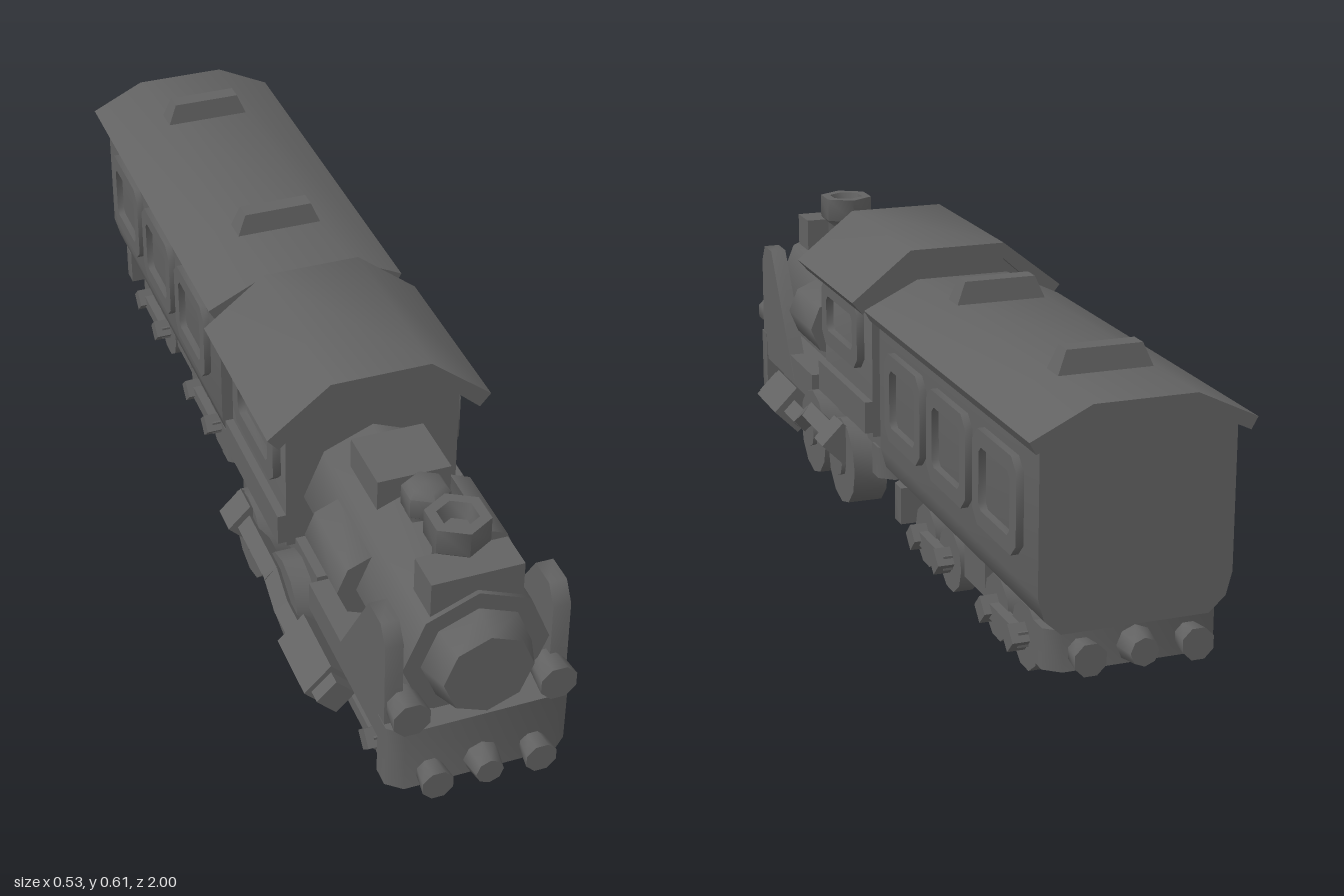
import * as THREE from 'three';
import { toCreasedNormals } from 'three/addons/utils/BufferGeometryUtils.js';

const mat = new THREE.MeshStandardMaterial({ color: 0x626262 });

// Soft shading over shallow bends, sharp at square corners
function add(parent, name, geo, x = 0, y = 0, z = 0) {
  const m = new THREE.Mesh(toCreasedNormals(geo, 1.1), mat);
  m.name = name;
  m.position.set(x, y, z);
  parent.add(m);
  return m;
}
// Box given by its limits
function box(parent, name, x0, x1, y0, y1, z0, z1) {
  return add(parent, name, new THREE.BoxGeometry(Math.abs(x1 - x0), y1 - y0, z1 - z0),
    (x0 + x1) / 2, (y0 + y1) / 2, (z0 + z1) / 2);
}
// Cylinder along z: rFront faces +z
function cylZ(parent, name, rFront, rBack, z0, z1, x, y, n = 8, turn = 0) {
  const g = new THREE.CylinderGeometry(rFront, rBack, z1 - z0, n);
  g.rotateY(turn).rotateX(Math.PI / 2);
  return add(parent, name, g, x, y, (z0 + z1) / 2);
}
// Cylinder along x
function cylX(parent, name, r, x0, x1, y, z, n = 10) {
  const g = new THREE.CylinderGeometry(r, r, Math.abs(x1 - x0), n).rotateZ(Math.PI / 2);
  return add(parent, name, g, (x0 + x1) / 2, y, z);
}
function polygon(points) {
  return new THREE.Shape(points.map(([x, y]) => new THREE.Vector2(x, y)));
}
function extrude(shape, depth) {
  return new THREE.ExtrudeGeometry(shape, { depth, bevelEnabled: false });
}
// Cross-section in x, y, drawn out from z0 to z1
function section(parent, name, points, z0, z1) {
  return add(parent, name, extrude(polygon(points), z1 - z0), 0, 0, z0);
}
// Mirror the right-hand half of an outline to close it
const mirrored = half => [...half, ...half.slice().reverse().map(([x, y]) => [-x, y])];

// Rectangle with cut corners
const cutRect = (w, h, c) => [[-w + c, -h], [w - c, -h], [w, -h + c], [w, h - c],
  [w - c, h], [-w + c, h], [-w, h - c], [-w, -h + c]];

// Raised window frame on a side wall
function windowFrame(parent, side, x, y, z, w, h, rim) {
  const s = polygon(cutRect(w / 2, h / 2, 0.025));
  s.holes.push(new THREE.Path(cutRect(w / 2 - rim, h / 2 - rim, 0.012).map(p => new THREE.Vector2(...p)).reverse()));
  add(parent, 'windowFrame', extrude(s, 0.018), side * x, y, z).rotation.y = side * Math.PI / 2;
}

// Four small wheels around a wide block with bevelled lower edges
function bogie(parent, z) {
  const b = new THREE.Group();
  b.name = 'bogie';
  b.position.z = z;
  parent.add(b);
  const block = extrude(polygon(mirrored([[0.085, 0.027], [0.112, 0.05], [0.112, 0.09], [0.09, 0.14]])), 0.22);
  block.translate(0, 0, -0.11).rotateY(Math.PI / 2);
  add(b, 'bogieBlock', block);
  for (const s of [-1, 1]) {
    for (const dz of [-0.072, 0.072]) {
      cylX(b, 'wheel', 0.066, s * 0.108, s * 0.148, 0.067, dz);
      cylX(b, 'hub', 0.028, s * 0.148, s * 0.183, 0.067, dz, 4);
    }
    box(b, 'sideBar', s * 0.145, s * 0.168, 0.052, 0.082, -0.09, 0.09);
  }
}

// End beam with cut corners, two buffers and a central coupling; dir is the outward z
function endBeam(parent, z, dir, w, y0, y1, bufferY) {
  const plan = mirrored([[w, -0.065], [w, -0.025], [w - 0.03, 0]]);
  const beam = extrude(polygon(plan), y1 - y0).rotateX(Math.PI / 2);
  if (dir < 0) beam.rotateY(Math.PI);
  add(parent, 'endBeam', beam, 0, y1, z);
  const tip = z + dir * 0.045;
  for (const x of [-0.105, 0, 0.105]) {
    const [outer, inner] = x ? [0.033, 0.027] : [0.028, 0.036];
    cylZ(parent, x ? 'buffer' : 'coupling', dir > 0 ? outer : inner, dir > 0 ? inner : outer,
      Math.min(z, tip), Math.max(z, tip), x, bufferY, 8, x ? Math.PI / 8 : 0);
  }
}

function locomotive() {
  const g = new THREE.Group();
  g.name = 'locomotive';

  // Underframe and footplate
  box(g, 'underframe', -0.11, 0.11, 0.1, 0.2, 0.06, 0.9);
  box(g, 'footplate', -0.182, 0.182, 0.14, 0.205, 0.5, 0.92);
  box(g, 'rearFootplate', -0.165, 0.165, 0.165, 0.215, 0.03, 0.5);
  endBeam(g, 0.955, 1, 0.185, 0.06, 0.205, 0.097);
  endBeam(g, 0.015, -1, 0.17, 0.1, 0.17, 0.133);

  // Boiler with bevelled front door
  cylZ(g, 'boiler', 0.147, 0.147, 0.36, 0.91, 0, 0.318);
  cylZ(g, 'boilerDoor', 0.09, 0.111, 0.91, 0.97, 0, 0.318);
  box(g, 'boilerSaddle', -0.11, 0.11, 0.19, 0.25, 0.36, 0.9);

  // Fittings along the top
  const pipe = [[0, 0.43], [0.045, 0.43], [0.045, 0.495], [0.063, 0.51], [0.063, 0.563], [0.04, 0.563], [0.03, 0.53], [0, 0.53]];
  add(g, 'chimney', new THREE.LatheGeometry(pipe.map(p => new THREE.Vector2(...p)), 6), 0, 0, 0.797);
  box(g, 'chimneyBlock', -0.092, 0.092, 0.4, 0.502, 0.82, 0.9);
  const dome = [[0, 0.43], [0.04, 0.43], [0.04, 0.462], [0.048, 0.468], [0.048, 0.51], [0.036, 0.523], [0, 0.523]];
  add(g, 'steamDome', new THREE.LatheGeometry(dome.map(p => new THREE.Vector2(...p)), 6), 0, 0, 0.647);
  box(g, 'sandBox', -0.076, 0.076, 0.41, 0.5, 0.445, 0.59);

  // Cab and its bent roof
  section(g, 'cab', mirrored([[0.185, 0.2], [0.185, 0.51], [0.105, 0.59]]), 0.025, 0.37);
  section(g, 'cabRoof', [[0.213, 0.483], [0.236, 0.51], [0.105, 0.613], [-0.105, 0.613], [-0.236, 0.51],
    [-0.213, 0.483], [-0.105, 0.578], [0.105, 0.578]], 0, 0.41);

  for (const s of [-1, 1]) {
    windowFrame(g, s, 0.184, 0.41, 0.21, 0.26, 0.15, 0.035);
    box(g, 'cabBand', s * 0.18, s * 0.203, 0.21, 0.28, 0.025, 0.37);
    cylZ(g, 'sideTank', 0.073, 0.073, 0.485, 0.67, s * 0.113, 0.32);
    cylZ(g, 'lamp', 0.039, 0.033, 0.9, 0.965, s * 0.147, 0.245, 8, Math.PI / 8);

    // Smoke deflector: sloping side plate
    const plate = extrude(
      polygon([[-0.92, 0.15], [-0.65, 0.15], [-0.7, 0.23], [-0.83, 0.43], [-0.89, 0.43], [-0.915, 0.39]]), 0.036);
    plate.translate(0, 0, -0.018).rotateY(Math.PI / 2);
    add(g, 'smokeDeflector', plate, s * 0.166, 0, 0);

    // Driving wheels
    for (const z of [0.41, 0.19]) {
      cylX(g, 'drivingWheel', 0.098, s * 0.13, s * 0.207, 0.098, z, 12);
      cylX(g, 'wheelHub', 0.035, s * 0.2, s * 0.217, 0.098, z, 8);
    }
    // Piston, cranked rod and rod end
    cylZ(g, 'pistonCylinder', 0.055, 0.055, 0.54, 0.7, s * 0.208, 0.11, 4);
    cylZ(g, 'pistonCap', 0.04, 0.04, 0.7, 0.73, s * 0.208, 0.11, 4);
    box(g, 'pistonMount', s * 0.1, s * 0.18, 0.1, 0.16, 0.56, 0.68);
    const rod = [[0.11, 0.56], [0.11, 0.455], [0.147, 0.39], [0.147, 0.17]];
    for (let i = 0; i < 3; i++) {
      const [y0, z0] = rod[i], [y1, z1] = rod[i + 1];
      const len = Math.hypot(y1 - y0, z1 - z0);
      const bar = new THREE.CylinderGeometry(0.026, 0.026, len + 0.012, 4).rotateX(Math.PI / 2);
      add(g, 'connectingRod', bar, s * 0.215, (y0 + y1) / 2, (z0 + z1) / 2).rotation.x = Math.atan2(y1 - y0, z0 - z1);
    }
    cylZ(g, 'rodEnd', 0.048, 0.048, 0.155, 0.22, s * 0.213, 0.147, 4);
  }
  for (const z of [0.41, 0.19]) cylX(g, 'drivingAxle', 0.025, -0.14, 0.14, 0.098, z, 8);
  bogie(g, 0.742);
  return g;
}

function carriage() {
  const g = new THREE.Group();
  g.name = 'carriage';
  g.position.x = 0.011;

  // Body with tucked-in lower edges, and roof
  section(g, 'carriageBody', mirrored([[0.145, 0.135], [0.178, 0.165], [0.19, 0.21], [0.19, 0.5], [0.1, 0.545]]), -0.958, -0.075);
  section(g, 'carriageRoof', [[0.205, 0.485], [0.218, 0.508], [0.1, 0.565], [-0.1, 0.565], [-0.218, 0.508],
    [-0.205, 0.485], [-0.1, 0.535], [0.1, 0.535]], -0.98, -0.06);

  // Windows on both sides
  for (const s of [-1, 1]) for (const z of [-0.26, -0.52, -0.778])
    windowFrame(g, s, 0.187, 0.352, z, 0.22, 0.187, 0.032);

  // Roof vents: tapered bars across the roof
  for (const z of [-0.26, -0.78]) {
    const vent = new THREE.BoxGeometry(0.2, 0.06, 0.058);
    const p = vent.attributes.position;
    for (let i = 0; i < p.count; i++) if (p.getY(i) > 0) p.setXYZ(i, p.getX(i) * 0.75, p.getY(i), p.getZ(i) * 0.65);
    add(g, 'roofVent', vent, 0, 0.58, z);
  }

  // Running gear
  box(g, 'underframe', -0.12, 0.12, 0.1, 0.15, -0.93, -0.1);
  box(g, 'underfloorBox', -0.145, 0.145, 0.06, 0.14, -0.58, -0.465);
  bogie(g, -0.317);
  bogie(g, -0.722);
  endBeam(g, -0.083, 1, 0.17, 0.06, 0.14, 0.097);
  endBeam(g, -0.955, -1, 0.17, 0.06, 0.14, 0.097);
  return g;
}

export function createModel() {
  const train = new THREE.Group();
  train.name = 'train';
  train.add(locomotive(), carriage());
  return train;
}
